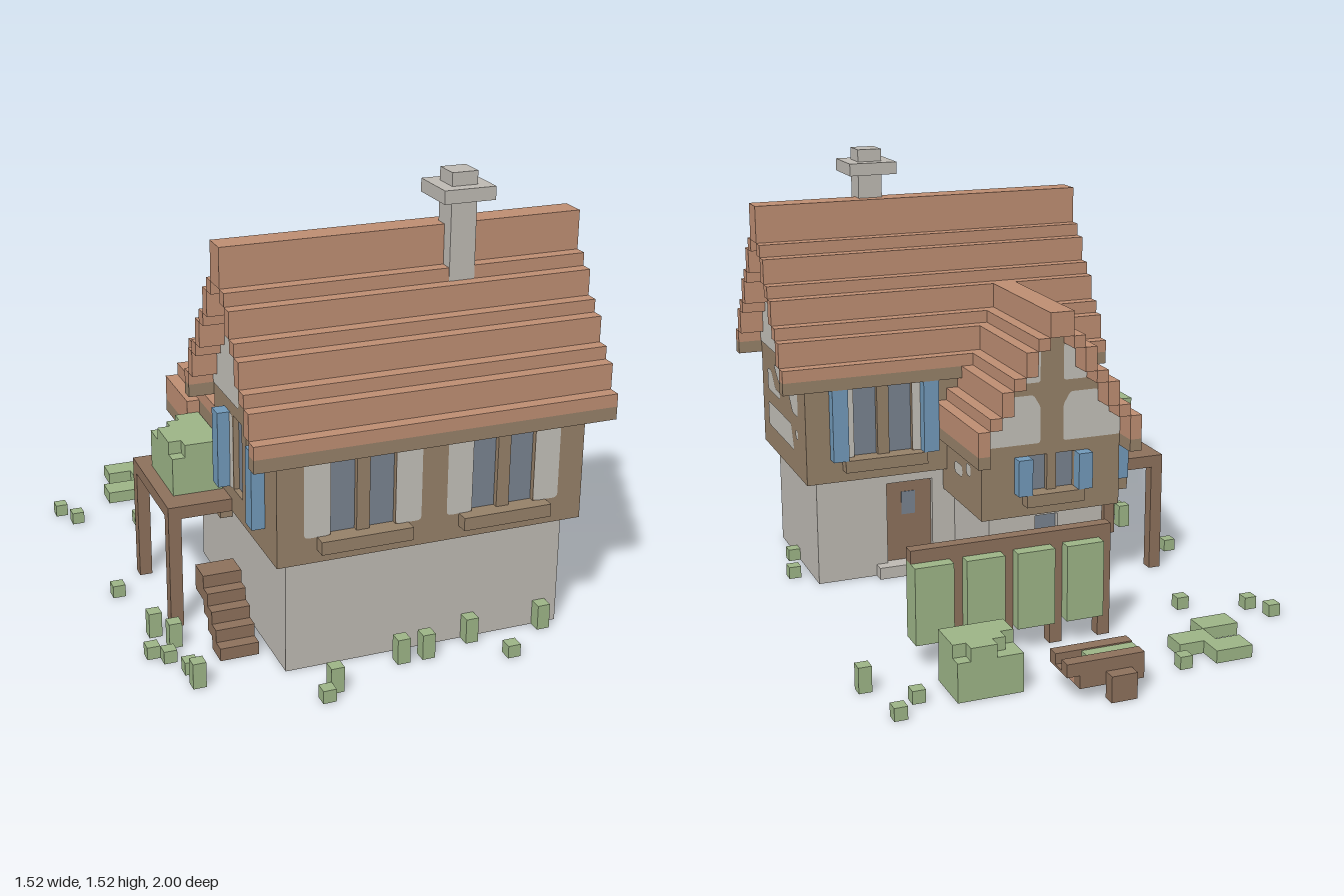
import * as THREE from 'three';

const V = 2 / 46; // size of one building block; everything below is in blocks
const D = 0.5; // thickness of the outer wall layer, and so the depth of window recesses
const mat = (name, color) => {
  const m = new THREE.MeshStandardMaterial({ color });
  m.name = name;
  return m;
};

export function createModel() {
  const M = {
    roof: mat('clay tiles', 0xbd8d72),
    timber: mat('timber', 0x958068),
    stone: mat('stone', 0xbdb9b2),
    plaster: mat('plaster', 0xc2bfb8),
    wood: mat('dark wood', 0x8c705b),
    leaf: mat('leaves', 0x9cb486),
    shutter: mat('blue paint', 0x7199b9),
    glass: mat('glass', 0x78828f),
  };
  M.plaster.side = THREE.DoubleSide;
  const root = new THREE.Group();
  root.name = 'cottage';
  root.scale.setScalar(V);

  const group = (name, parent = root) => {
    const g = new THREE.Group();
    g.name = name;
    parent.add(g);
    return g;
  };
  const add = (parent, name, geo, m) => {
    const mesh = new THREE.Mesh(geo, m);
    mesh.name = name;
    parent.add(mesh);
    return mesh;
  };
  // Box given by its low and high corner on each axis
  const box = (parent, name, m, x0, x1, y0, y1, z0, z1) => {
    const b = add(parent, name, new THREE.BoxGeometry(x1 - x0, y1 - y0, z1 - z0), m);
    b.position.set((x0 + x1) / 2, (y0 + y1) / 2, (z0 + z1) / 2);
  };
  // Plaster field with rounded corners, on the outer plane of a wall
  const plaster = (parent, pts, r = 0.35) => {
    const p = pts.map(([x, y]) => new THREE.Vector2(x, y));
    const s = new THREE.Shape();
    p.forEach((c, i) => {
      const toward = q => c.clone().add(q.clone().sub(c).setLength(Math.min(r, c.distanceTo(q) / 2)));
      const a = toward(p[(i + p.length - 1) % p.length]), b = toward(p[(i + 1) % p.length]);
      if (i) s.lineTo(a.x, a.y); else s.moveTo(a.x, a.y);
      s.quadraticCurveTo(c.x, c.y, b.x, b.y);
    });
    add(parent, 'plasterPanel', new THREE.ShapeGeometry(s, 4), M.plaster).position.z = 0.06;
  };
  const rect = (x0, x1, y0, y1) => [[x0, y0], [x1, y0], [x1, y1], [x0, y1]];
  const vectors = pts => pts.map(p => new THREE.Vector2(...p));
  // Outer wall layer: local x runs along it, local z points outward, holes are glazed or filled
  const wall = (name, m, x, z, turn, w, y0, y1, holes = [], filling = M.glass) => {
    const g = group(name);
    g.position.set(x, 0, z);
    g.rotation.y = turn * Math.PI / 2;
    const s = new THREE.Shape(vectors(rect(-w / 2, w / 2, y0, y1)));
    for (const h of holes) {
      s.holes.push(new THREE.Path(vectors(rect(...h).reverse())));
      box(g, 'recessPanel', filling, ...h, -D, 0.06 - D);
    }
    add(g, name + 'Layer', new THREE.ExtrudeGeometry(s, { depth: D, bevelEnabled: false }), m).position.z = -D;
    return g;
  };
  const sill = (g, m, x0, x1, y) => box(g, 'windowSill', m, x0, x1, y, y + 1, 0, 1);
  const shutters = (g, c, inner, outer, y0, y1) => {
    box(g, 'shutter', M.shutter, c - outer, c - inner, y0, y1, 0, 1);
    box(g, 'shutter', M.shutter, c + inner, c + outer, y0, y1, 0, 1);
  };
  // Two panes with a post between, and the plaster fields beside them
  const panes = c => [[c - 2.5, c - 0.5, 11, 16.98], [c + 0.5, c + 2.5, 11, 16.98]];
  const besidePanes = (g, c) => {
    plaster(g, rect(c - 4.5, c - 2.5, 11, 17));
    plaster(g, rect(c + 2.5, c + 4.5, 11, 17));
  };

  // Stone ground floor with a back door and a wing window
  const ground = group('groundFloor');
  box(ground, 'mainBase', M.stone, -7.5, 14.5, 0, 9, 6 + D, 18);
  box(ground, 'wingBase', M.stone, -7.5, 2.5, 0, 7, D - 2, 6 + D);
  const mainBase = wall('mainBaseBack', M.stone, 3.5, 6, 2, 22, 0, 9, [[-5, -1, 1, 8]], M.wood);
  box(mainBase, 'doorPane', M.glass, -3.6, -2.4, 5, 7, -D, 0.12 - D);
  box(mainBase, 'doorStep', M.stone, -6, -1, 0, 1, 0, 1);
  const wingBase = wall('wingBaseBack', M.stone, -2.5, -2, 2, 10, 0, 7, [[-1, 1, 3, 6.5]]);
  sill(wingBase, M.stone, -2, 2, 2);

  // Main upper floor: timber frame around recessed windows
  const upper = group('upperFloor');
  box(upper, 'mainCore', M.timber, -8.5 + D, 15.5 - D, 9, 17, 5 + D, 19 - D);
  box(upper, 'wingCore', M.timber, -8.5 + D, 3.5 - D, 7, 12, D - 3, 6);
  const front = wall('frontWall', M.timber, 3.5, 19, 0, 24, 9, 17, [...panes(-5.5), ...panes(5.5)]);
  for (const c of [-5.5, 5.5]) {
    besidePanes(front, c);
    sill(front, M.timber, c - 3.5, c + 3.5, 10);
  }
  const back = wall('backWall', M.timber, 3.5, 5, 2, 24, 9, 17, panes(-5.5));
  besidePanes(back, -5.5);
  shutters(back, -5.5, 3.2, 4.5, 11, 17);
  sill(back, M.timber, -9, -2, 10);
  const left = wall('leftWall', M.timber, -8.5, 12, -1, 14, 9, 17, panes(0));
  besidePanes(left, 0);
  shutters(left, 0, 3.2, 4.5, 11, 17);
  // Braced plaster fields on the right wall
  const right = wall('rightWall', M.timber, 15.5, 12, 1, 14, 9, 17);
  for (const pts of [
    [[-4.9, 14.2], [-0.8, 14.2], [-0.8, 14.8], [-2.4, 14.8], [-3.6, 16.1], [-4.9, 16.1]],
    [[-2.7, 16.9], [-1.6, 15.9], [-0.2, 15.2], [0.2, 15.2], [0.2, 16.9]],
    [[1, 16.9], [1, 16], [2, 15.6], [3.2, 14.2], [4.9, 14.2], [4.9, 16.9]],
    [[-5, 11], [3.4, 11], [2.6, 13.1], [-5, 13.1]],
    rect(4, 4.8, 12.2, 13),
  ]) plaster(right, pts);

  // Wing upper floor
  const wBack = wall('wingBackWall', M.timber, -2.5, -3, 2, 12, 7, 12.5, [[-2, -0.4, 9, 12], [0.4, 2, 9, 12]]);
  shutters(wBack, 0, 2, 3.2, 9, 12);
  sill(wBack, M.timber, -2.5, 2.5, 8);
  const wRight = wall('wingRightWall', M.timber, 3.5, 1.5, 1, 9, 7, 13);
  plaster(wRight, rect(-1.5, 0.3, 9.4, 10.4));
  plaster(wRight, rect(1.2, 2.2, 10, 11));
  const wLeft = wall('wingLeftWall', M.timber, -8.5, 1.5, -1, 9, 7, 13, [[-3.5, -2.5, 9, 12]]);
  shutters(wLeft, -3, 0.5, 1.2, 9, 12);
  sill(wLeft, M.timber, -4, -2, 8);

  // Stepped roof along local z; tops run from the eave to the two-block ridge
  const roof = (name, tops, eave, z0, endOf, gableEnds) => {
    const g = group(name);
    const n = tops.length;
    tops.forEach((t, i) => {
      const r = n - i, ridge = i === n - 1;
      const b = i ? tops[i - 1] : eave + 1;
      for (const s of ridge ? [1] : [-1, 1]) {
        const lo = ridge ? -1 : Math.min(s * r, s * (r - 1)), hi = ridge ? 1 : lo + 1;
        box(g, 'tileRow', M.roof, lo, hi, b, t, z0, endOf(t, s));
        if (!i) box(g, 'eaveBeam', M.timber, lo, hi, eave, eave + 1, z0, endOf(t, s));
      }
      // Gable infill under each step
      if (i) for (const z of gableEnds) box(g, 'gableWall', M.timber, -r, r, eave, b, z, z + 1);
    });
    return g;
  };
  const gablePanels = (g, shapes, z, turned) => {
    const face = group('gablePanels', g);
    face.position.z = z;
    face.rotation.y = turned ? Math.PI : 0;
    for (const pts of shapes) for (const s of [-1, 1]) plaster(face, pts.map(([x, y]) => [x * s, y]), 0.25);
  };
  const mainRoof = roof('mainRoof', [19, 21, 22, 24, 25, 27, 28, 31], 17, -14, () => 14, [-12, 11]);
  mainRoof.position.set(3.5, 0, 12);
  mainRoof.rotation.y = Math.PI / 2;
  const mainShapes = [
    [[1, 18], [7, 18], [7, 19], [6, 19], [6, 21], [5, 21], [5, 22], [4, 22], [4, 23], [1.6, 23], [1, 22]],
    [[1, 24], [3, 24], [3, 25], [2, 25], [2, 27], [1, 27]],
  ];
  gablePanels(mainRoof, mainShapes, 12, false);
  gablePanels(mainRoof, mainShapes, -12, true);
  // Wing roof runs into the main slope; its left eave stops at the porch bush
  const wingEnd = (t, s) => (t === 15 && s < 0 ? 1 : t < 19 ? 5 : 7);
  const wingRoof = roof('wingRoof', [15, 16, 18, 19, 21, 22, 24], 12, -5, wingEnd, [-3]);
  wingRoof.position.x = -2.5;
  for (const x of [-6, 5]) box(wingRoof, 'wingSideWall', M.timber, x, x + 1, 12, 15, -2, 5);
  gablePanels(wingRoof, [
    [[1, 13], [6, 13], [6, 15], [5, 15], [5, 16], [4, 16], [4, 17], [1.6, 17], [1, 16]],
    [[1, 18], [3, 18], [3, 19], [2, 19], [2, 21], [1, 21]],
  ], -3, true);

  // Chimney
  const chimney = group('chimney');
  box(chimney, 'chimneyStack', M.stone, 6.5, 8.5, 27, 35, 12, 14.05);
  box(chimney, 'chimneyCap', M.stone, 5.5, 9.5, 33, 34, 11, 15);

  // Side porch with posts, stair and planter
  const porch = group('porch');
  box(porch, 'porchDeck', M.wood, -13.5, -8.5, 9, 10, -1, 9);
  for (const z of [-1, 8]) box(porch, 'porchPost', M.wood, -13.5, -12.5, 0, 9, z, z + 1);
  for (let i = 0; i < 5; i++) {
    box(porch, 'stairStep', M.wood, -11.5, -8.5, Math.max(0, 3 - i), 5 - i, 10 + i - (i ? 0 : 1), 11 + i);
  }
  box(porch, 'porchBush', M.leaf, -12.5, -8.6, 10, 13, 1, 7);
  box(porch, 'porchBushTop', M.leaf, -11.5, -8.6, 13, 14, 2, 7);
  box(porch, 'porchBushTuft', M.leaf, -12.5, -11.5, 13, 14, 3, 6);
  box(porch, 'porchBushTuft', M.leaf, -10.5, -8.6, 13, 14, 1, 2);

  // Trellis fence
  const fence = group('trellisFence');
  box(fence, 'fenceRail', M.wood, -3.5, 12.5, 8, 9, -12, -11);
  for (let i = 0; i < 4; i++) {
    const x = -3.5 + 4 * i;
    box(fence, 'fencePost', M.wood, x, x + 1, 0, 8, -12, -11);
    box(fence, 'fenceHedge', M.leaf, x + 1, x + 4, 2, 8, -13, -11);
  }

  // Garden cart
  const cart = group('gardenCart');
  for (const z of [-22, -20]) box(cart, 'cartSide', M.wood, -1.5, 4.5, 2, 3, z, z + 1);
  for (const z of [-23, -19]) box(cart, 'cartWheel', M.wood, -0.5, 1.5, 0, 2, z, z + 1);
  box(cart, 'cartBed', M.roof, -1.5, 3.5, 1, 2, -21, -19);
  box(cart, 'cartBedSide', M.wood, -1.5, 3.5, 1, 2, -22, -21);
  box(cart, 'cartBoard', M.wood, 2.5, 4.5, 2, 2.2, -21, -20);
  box(cart, 'cartPlants', M.leaf, -1.5, 2.5, 2, 2.9, -21, -20);

  // Garden bush with notched top
  const garden = group('gardenPlants');
  box(garden, 'bush', M.leaf, 6.5, 11.5, 0, 3, -19, -15);
  box(garden, 'bushTop', M.leaf, 7.5, 11.5, 3, 4, -18, -15);
  box(garden, 'bushTuft', M.leaf, 6.5, 7.5, 3, 4, -17, -15);
  box(garden, 'bushTuft', M.leaf, 8.5, 10.5, 3, 4, -19, -18);
  // Low ground cover
  for (const [x, z] of [[-11.5, -20], [-9.5, -18], [-12.5, -16]]) {
    box(garden, 'groundCover', M.leaf, x, x + 3, 0, 1, z, z + 2);
  }
  // Small tufts: centre x, centre z, height
  const tufts = [
    [-6, -19.5, 1], [16, -19.5, 1], [14, -17.5, 1], [17, -14.5, 2], [-17, -13.5, 1], [-16, -11.5, 1],
    [-11, -9.5, 1], [-16, 2.5, 1], [-15, 9.5, 2], [-14, 11.5, 2], [-16, 12.5, 1], [-15, 13.5, 1],
    [-14, 15.5, 1], [-14, 17.5, 2], [-5, 21.5, 2], [-6, 22.5, 1], [9, 21.5, 1], [1, 19.5, 2],
    [3, 19.5, 2], [7, 18.5, 2], [13, 18.5, 2], [15, 12.5, 1], [16, 8.5, 1],
  ];
  for (const [x, z, h] of tufts) box(garden, 'grassTuft', M.leaf, x - 0.5, x + 0.5, 0, h, z - 0.5, z + 0.5);

  const model = new THREE.Group();
  model.name = 'cottageModel';
  model.add(root);
  return model;
}
